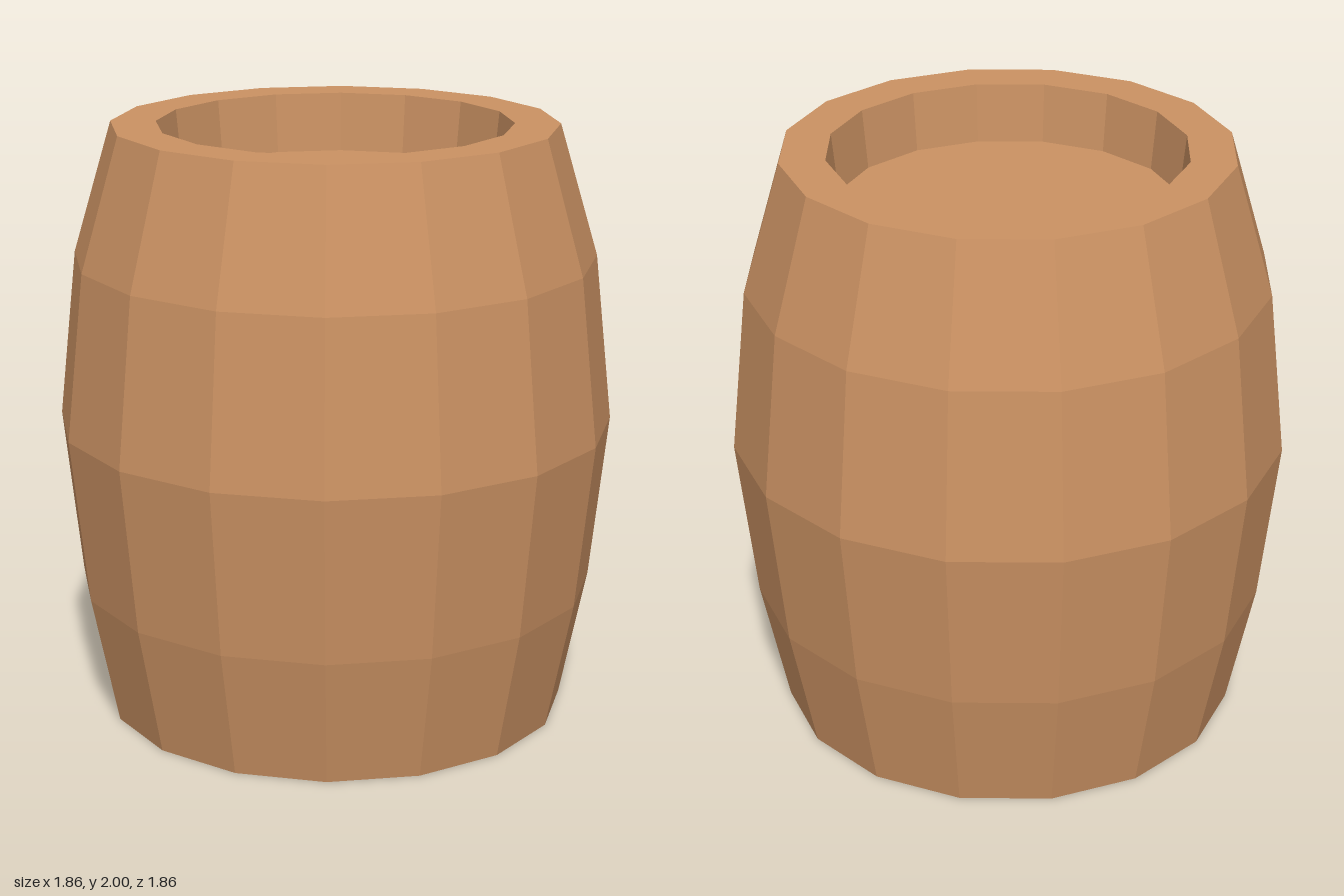
import * as THREE from 'three';

const SIDES = 16;

const material = (name, hex) => {
  const m = new THREE.MeshStandardMaterial({ color: hex });
  m.name = name;
  return m;
};

// Faceted ring (or sector of one) turned from a [radius, height] profile
function turned(name, profile, mat, start = 0, sides = SIDES) {
  const points = profile.map(([r, y]) => new THREE.Vector2(r, y));
  const step = (Math.PI * 2) / SIDES;
  const geometry = new THREE.LatheGeometry(points, sides, start * step, sides * step).toNonIndexed();
  geometry.computeVertexNormals();
  const mesh = new THREE.Mesh(geometry, mat);
  mesh.name = name;
  return mesh;
}

export function createModel() {
  const wood = material('wood', 0xcb9263);
  const teal = material('teal', 0x71bdc9);
  const black = material('black', 0x0a0a0a);

  const barrel = new THREE.Group();
  barrel.name = 'barrel';

  barrel.add(
    // Bulging staves
    turned('staves', [[0.78, 0], [0.87, 0.44], [0.93, 1], [0.87, 1.56], [0.74, 2]], wood),
    // Flat rim, recess wall and sunken lid
    turned('rim', [[0.74, 2], [0.59, 2]], wood),
    turned('recessWall', [[0.59, 2], [0.57, 1.8]], wood),
    turned('lid', [[0.57, 1.8], [0, 1.8]], wood),
    // Underside in three coloured sectors, counted from +z towards +x
    turned('baseFrontLeft', [[0, 0], [0.78, 0]], teal, 0, 4),
    turned('baseBack', [[0, 0], [0.78, 0]], black, 4, 8),
    turned('baseFrontRight', [[0, 0], [0.78, 0]], wood, 12, 4),
  );
  return barrel;
}
